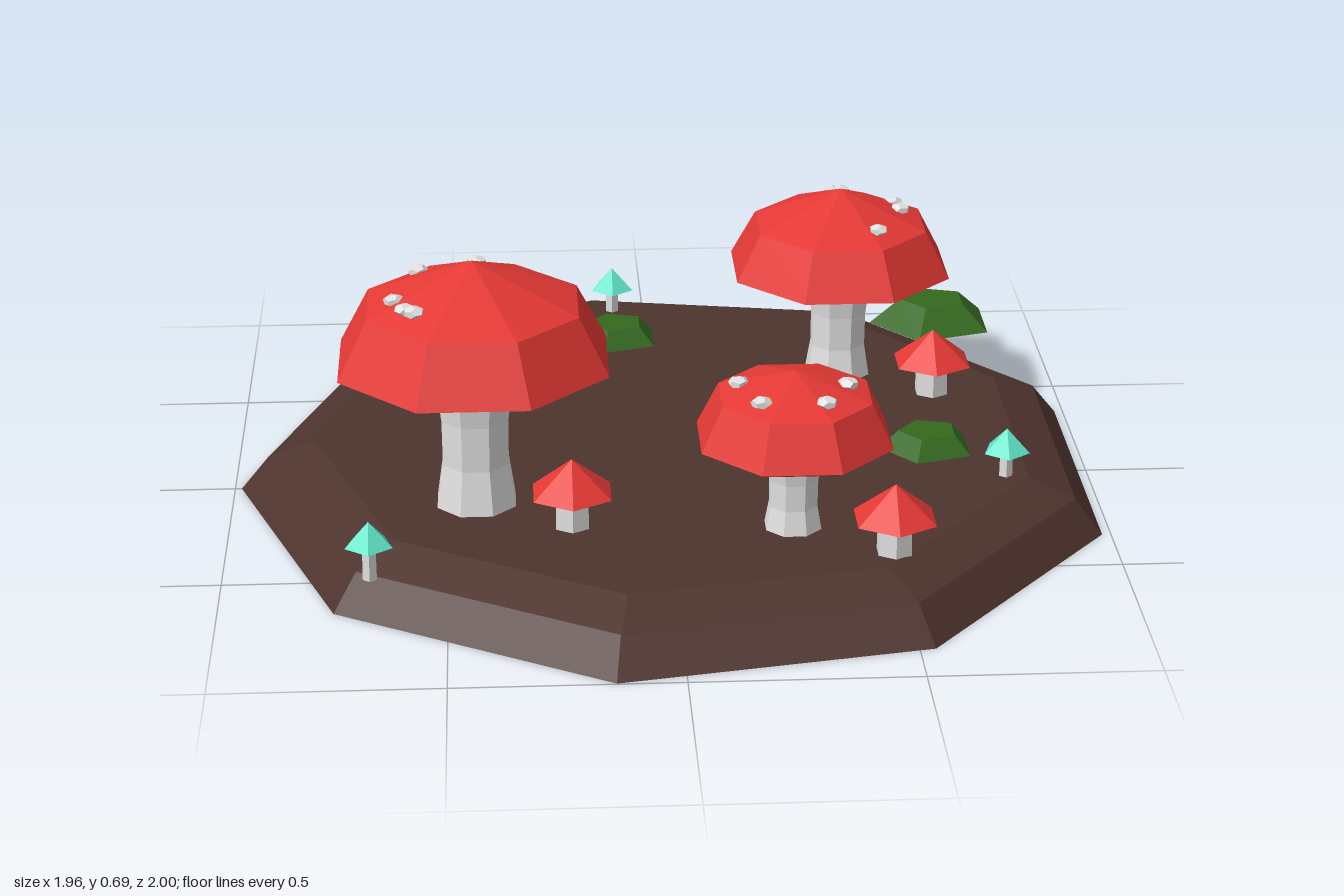
import * as THREE from 'three';

const mat = (name, color) => {
  const m = new THREE.MeshStandardMaterial({ color, flatShading: true });
  m.name = name;
  return m;
};

export function createModel() {
  const soil = mat('soil brown', 0x4e342e);
  const red = mat('cap red', 0xe53935);
  const pale = mat('stem white', 0xe0e0e0);
  const teal = mat('sprout teal', 0x64f0d0);
  const green = mat('moss green', 0x33691e);

  const model = new THREE.Group();
  model.name = 'mushroomPatch';

  // faceted solid of revolution, profile listed from bottom to top
  const turned = (name, profile, sides, turn, material) => {
    const pts = profile.map(([r, y]) => new THREE.Vector2(r, y));
    const geo = new THREE.LatheGeometry(pts, sides).toNonIndexed();
    geo.rotateY(turn);
    geo.computeVertexNormals();
    const mesh = new THREE.Mesh(geo, material);
    mesh.name = name;
    return mesh;
  };
  const group = (name, x, z) => {
    const g = new THREE.Group();
    g.name = name;
    g.position.set(x, 0, z);
    model.add(g);
    return g;
  };

  // nine-sided ground slab
  const ground = turned('ground',
    [[0, 0], [1.013, 0], [0.948, 0.08], [0.84, 0.12], [0, 0.12]], 9, -Math.PI / 2, soil);
  ground.position.x = 0.028;
  model.add(ground);

  // large mushrooms: s scales the width, cap heights are listed from underside to tip
  const large = [
    { x: -0.435, z: 0.345, s: 1, ys: [0.42, 0.465, 0.595, 0.695],
      spots: [[-0.555, 0.215], [-0.425, 0.165], [-0.605, 0.39], [-0.58, 0.445], [-0.56, 0.465]] },
    { x: 0.442, z: -0.352, s: 0.857, ys: [0.352, 0.395, 0.505, 0.59],
      spots: [[0.43, -0.5], [0.457, -0.5], [0.575, -0.41], [0.588, -0.365], [0.52, -0.225]] },
    { x: 0.26, z: 0.507, s: 0.705, ys: [0.29, 0.335, 0.435, 0.49],
      spots: [[0.14, 0.48], [0.375, 0.505], [0.18, 0.595], [0.32, 0.605]] },
  ];
  const spotGeo = new THREE.DodecahedronGeometry(0.024);
  for (const { x, z, s, ys, spots } of large) {
    const g = group('largeMushroom', x, z);
    const [under, rim, shoulder, tip] = ys;
    const h = under - 0.11;
    g.add(turned('stem', [
      [0, 0.11], [0.096 * s, 0.11], [0.079 * s, 0.11 + h * 0.36],
      [0.08 * s, 0.11 + h * 0.7], [0.092 * s, under + 0.01], [0, under + 0.01],
    ], 8, Math.PI / 8, pale));
    g.add(turned('cap', [
      [0, under], [0.177 * s, under], [0.319 * s, rim], [0.249 * s, shoulder], [0, tip],
    ], 8, Math.PI / 8, red));
    // spots sit on the upper slope of the cap
    spots.forEach(([sx, sz], i) => {
      const d = Math.hypot(sx - x, sz - z);
      const spot = new THREE.Mesh(spotGeo, pale);
      spot.name = 'capSpot';
      spot.position.set(sx - x, tip - (tip - shoulder) * d / (0.238 * s) + 0.003, sz - z);
      spot.rotation.y = i * 1.3;
      spot.scale.y = 0.55;
      g.add(spot);
    });
  }

  // small cone-capped mushrooms
  const cone = (name, x, z, sides, r, stemR, foot, brim, tip, material) => {
    const g = group(name, x, z);
    g.add(turned('stem', [[0, foot], [stemR, foot], [stemR * 0.95, brim + 0.01], [0, brim + 0.01]], sides, 0, pale));
    g.add(turned('cap', [[0, brim], [r, brim], [0, tip]], sides, 0, material));
  };
  for (const [x, z] of [[-0.225, 0.485], [0.468, 0.65], [0.655, -0.21]])
    cone('smallMushroom', x, z, 6, 0.098, 0.042, 0.11, 0.2, 0.28, red);
  for (const [x, z] of [[-0.665, 0.685], [-0.09, -0.765], [0.765, 0.272]])
    cone('tealMushroom', x, z, 5, 0.054, 0.016, 0.1, 0.18, 0.235, teal);

  // five-sided moss mounds: x, z, radius
  for (const [x, z, r] of [[-0.622, -0.522, 0.147], [-0.087, -0.58, 0.133], [0.608, 0.11, 0.133], [0.72, -0.698, 0.16]]) {
    const mound = turned('mossMound', [[0, 0.1], [r, 0.1], [r * 0.53, 0.163], [0, 0.163]], 5, -Math.PI / 2, green);
    mound.position.set(x, 0, z);
    mound.scale.z = 0.86;
    model.add(mound);
  }
  return model;
}
